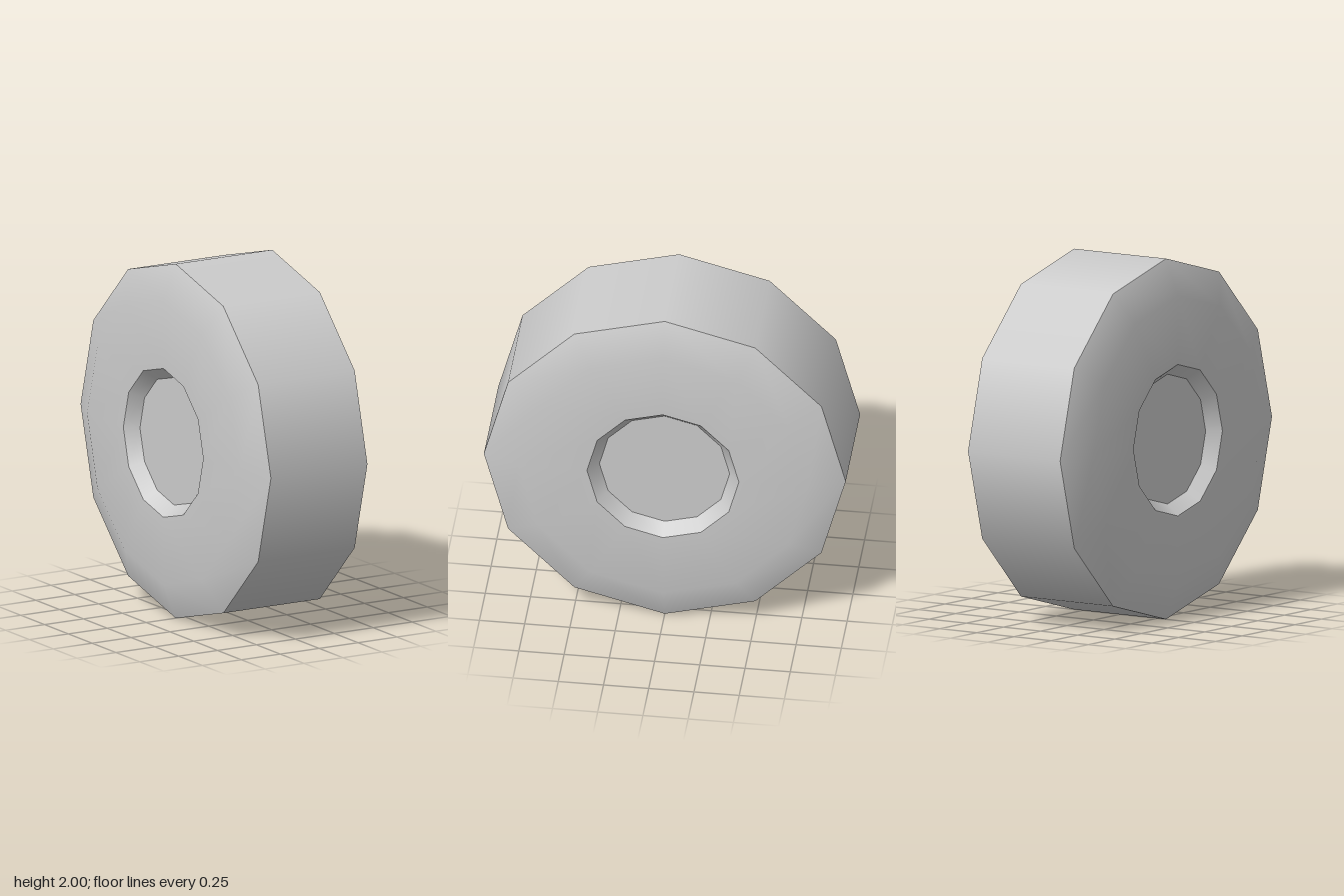
import * as THREE from 'three';

const SIDES = 12;
const material = new THREE.MeshStandardMaterial({ color: 0xcccccc });

// Revolve a [radius, height] profile; each profile is one smooth band.
function band(name, profile) {
  const points = profile.map(([r, h]) => new THREE.Vector2(r, h));
  const mesh = new THREE.Mesh(new THREE.LatheGeometry(points, SIDES), material);
  mesh.name = name;
  return mesh;
}

// One side of the wheel, facing up its own y axis.
function wheelSide(name) {
  const side = new THREE.Group();
  side.name = name;
  side.add(
    band('sidewall', [[1, 0.31], [0.8, 0.39], [0.42, 0.39]]),
    band('hubRecessWall', [[0.42, 0.39], [0.36, 0.32]]),
    band('hubDisc', [[0.36, 0.32], [0, 0.32]])
  );
  return side;
}

export function createModel() {
  const wheel = new THREE.Group();
  wheel.name = 'wheel';

  // Flat outer running surface
  const tread = band('tread', [[1, -0.31], [1, 0.31]]);
  tread.rotation.z = -Math.PI / 2;
  wheel.add(tread);

  // Matching sides with a sunken hub
  for (const [name, s] of [['leftSide', 1], ['rightSide', -1]]) {
    const side = wheelSide(name);
    side.rotation.z = -s * Math.PI / 2;
    wheel.add(side);
  }

  wheel.position.y = 1;
  const model = new THREE.Group();
  model.add(wheel);
  return model;
}
